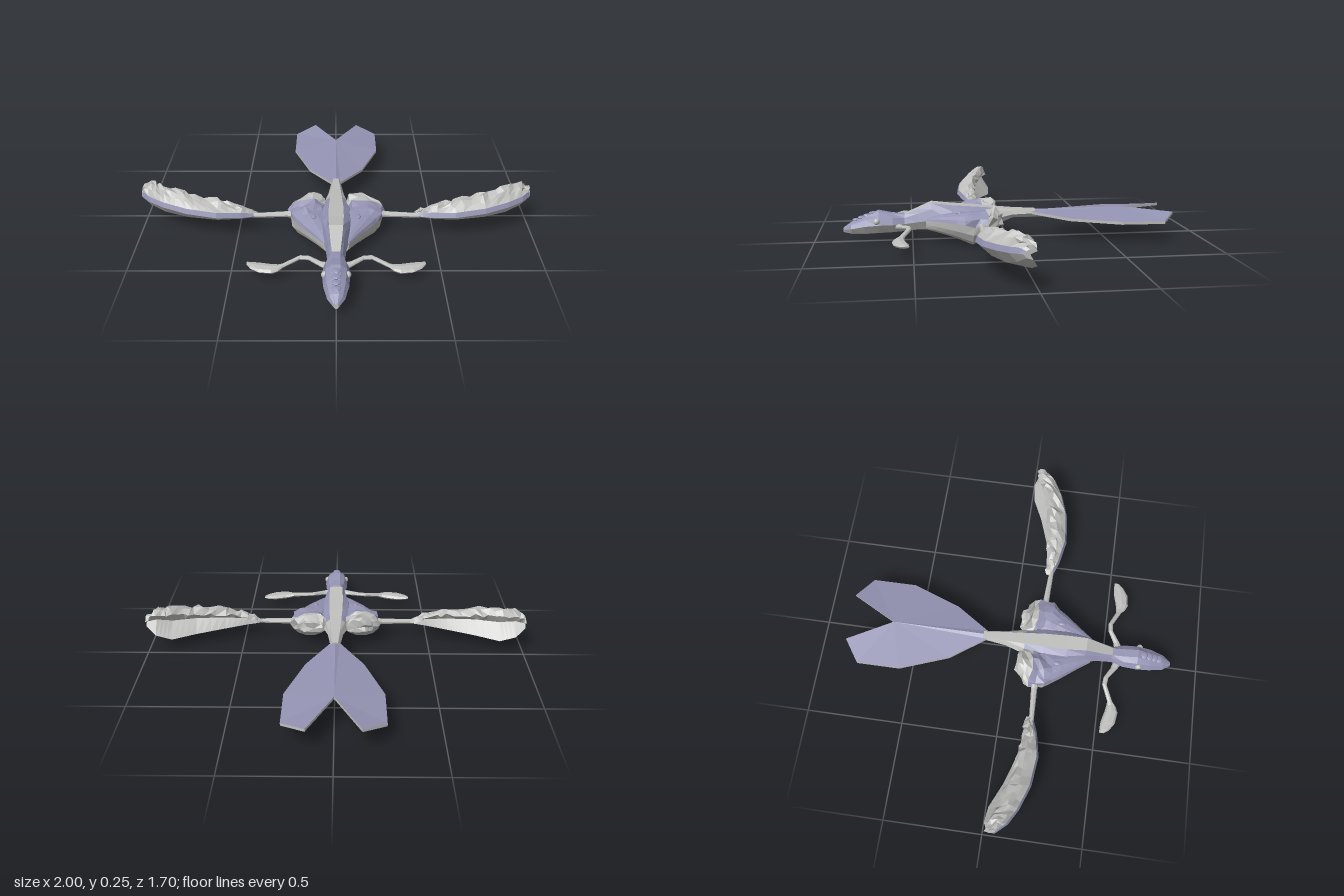
import * as THREE from 'three';

const make = (name, color) => {
  const m = new THREE.MeshStandardMaterial({ color, flatShading: true });
  m.name = name;
  return m;
};

let seed = 7;
const rough = (size) => {
  seed = (seed * 16807) % 2147483647;
  return (seed / 2147483647 - 0.5) * 2 * size;
};
const mix = (a, b, t) => a + (b - a) * t;

// Linear resampling of a table of stations
function resample(keys, count) {
  return Array.from({ length: count + 1 }, (_, i) => {
    const f = (i / count) * (keys.length - 1);
    const k = Math.min(Math.floor(f), keys.length - 2);
    return keys[k].map((v, j) => mix(v, keys[k + 1][j], f - k));
  });
}

// Closed skin over rings of points; paint(i, j) picks the material index of a facet
function loft(name, rings, materials, paint = () => 0) {
  const n = rings[0].length;
  const lists = materials.map(() => []);
  const mid = (r) => [0, 1, 2].map((k) => r.reduce((s, p) => s + p[k], 0) / n);
  for (let i = 0; i < rings.length - 1; i++) {
    for (let j = 0; j < n; j++) {
      const a = rings[i][j], b = rings[i][(j + 1) % n];
      const c = rings[i + 1][(j + 1) % n], d = rings[i + 1][j];
      lists[paint(i, j)].push([a, b, c], [a, c, d]);
    }
  }
  const first = rings[0], last = rings[rings.length - 1];
  for (let j = 0; j < n; j++) {
    const k = (j + 1) % n;
    lists[0].push([mid(first), first[k], first[j]], [mid(last), last[j], last[k]]);
  }
  // Turn the facets outward
  const v = (p) => new THREE.Vector3(...p);
  let volume = 0;
  for (const [a, b, c] of lists.flat()) volume += v(a).dot(v(b).cross(v(c)));
  const geometry = new THREE.BufferGeometry();
  const positions = [];
  lists.forEach((list, m) => {
    const start = positions.length / 3;
    for (const [a, b, c] of list) positions.push(...a, ...(volume < 0 ? c : b), ...(volume < 0 ? b : c));
    geometry.addGroup(start, positions.length / 3 - start, m);
  });
  geometry.setAttribute('position', new THREE.Float32BufferAttribute(positions, 3));
  geometry.computeVertexNormals();
  const mesh = new THREE.Mesh(geometry, materials);
  mesh.name = name;
  return mesh;
}

export function createModel() {
  const grey = make('paleGrey', 0xbebebc);
  const violet = make('dustyViolet', 0x9494b4);
  const both = [grey, violet];
  const model = new THREE.Group();
  model.name = 'wingedCreature';

  // Body from snout to tail root: z, half width, top, middle, bottom, half stripe
  const spine = [
    [0.85, 0.012, 0.082, 0.07, 0.058, 0.005], [0.81, 0.04, 0.11, 0.08, 0.048, 0.012],
    [0.74, 0.058, 0.142, 0.095, 0.045, 0.018], [0.67, 0.064, 0.167, 0.1, 0.048, 0.02],
    [0.6, 0.06, 0.152, 0.1, 0.05, 0.02], [0.54, 0.042, 0.147, 0.1, 0.055, 0.02],
    [0.47, 0.05, 0.175, 0.11, 0.06, 0.028], [0.4, 0.066, 0.205, 0.12, 0.06, 0.034],
    [0.3, 0.09, 0.192, 0.12, 0.05, 0.038], [0.18, 0.09, 0.182, 0.12, 0.05, 0.036],
    [0.08, 0.068, 0.172, 0.12, 0.07, 0.03], [-0.02, 0.04, 0.163, 0.135, 0.112, 0.024],
    [-0.14, 0.024, 0.157, 0.135, 0.115, 0.014],
  ];
  const bodyRings = spine.map(([z, w, top, mid, bot, s]) => {
    const half = [[s, top], [0.75 * w, mix(top, mid, 0.35)], [w, mid], [0.6 * w, mix(bot, mid, 0.2)]];
    return [
      ...half.map(([x, y]) => [x, y, z]), [0, bot, z],
      ...half.reverse().map(([x, y]) => [-x, y, z]),
    ];
  });
  model.add(loft('body', bodyRings, both, (i, j) => {
    if (j === 8) return i < 5 ? 1 : 0;
    return [0, 1, 6, 7].includes(j) && i < 10 ? 1 : 0;
  }));

  // Row of low studs on the head
  for (let i = 0; i < 4; i++) {
    const stud = new THREE.Mesh(new THREE.SphereGeometry(0.022, 10, 6), violet);
    stud.name = 'headStud';
    stud.scale.y = 0.35;
    stud.position.set(0, 0.155 - i * 0.011, 0.7 + i * 0.028);
    model.add(stud);
  }

  for (const s of [1, -1]) {
    const side = s > 0 ? 'left' : 'right';

    const eye = new THREE.Mesh(new THREE.SphereGeometry(0.017, 10, 8), grey);
    eye.name = side + 'Eye';
    eye.position.set(s * 0.052, 0.118, 0.68);
    model.add(eye);

    // Haunch: z, centre x, half width, top, bottom; rough toward the rear
    const haunch = resample([
      [0.43, 0.045, 0.018, 0.13, 0.07], [0.36, 0.07, 0.045, 0.15, 0.055],
      [0.28, 0.1, 0.078, 0.165, 0.035], [0.2, 0.132, 0.1, 0.175, 0.006],
      [0.13, 0.14, 0.1, 0.188, 0.045], [0.085, 0.125, 0.08, 0.195, 0.08], [0.05, 0.115, 0.05, 0.175, 0.11],
    ], 12);
    const haunchRings = haunch.map(([z, cx, w, top, bot]) =>
      Array.from({ length: 14 }, (_, j) => {
        const a = (j / 14) * Math.PI * 2, up = Math.sin(a);
        const r = z < 0.24 && up > -0.3 ? 0.011 : 0;
        return [
          s * (cx + w * Math.cos(a) + rough(r)),
          Math.max(0, 0.12 + up * (up > 0 ? top - 0.12 : 0.12 - bot) + rough(r)),
          z + rough(r),
        ];
      }));
    model.add(loft(side + 'Haunch', haunchRings, both, (i, j) => (j < 7 && i < 8 ? 1 : 0)));

    // Small oval bumps on the haunch
    for (const [x, y, z] of [[0.11, 0.166, 0.26], [0.145, 0.155, 0.25]]) {
      const bump = new THREE.Mesh(new THREE.SphereGeometry(0.016, 8, 6), violet);
      bump.name = side + 'HaunchBump';
      bump.scale.set(0.8, 0.5, 1.4);
      bump.position.set(s * x, y, z);
      model.add(bump);
    }

    // Limbs running outward: x, y, z, half height, half depth
    const limb = (name, keys) => loft(name, keys.map(([x, y, z, h, d]) =>
      Array.from({ length: 8 }, (_, j) => {
        const a = (j / 8) * Math.PI * 2;
        return [s * x, y + h * Math.sin(a), z + d * Math.cos(a)];
      })), both);
    model.add(limb(side + 'WingStrut', [
      [0.18, 0.12, 0.155, 0.03, 0.03], [0.25, 0.118, 0.16, 0.015, 0.016], [0.43, 0.115, 0.168, 0.012, 0.012],
    ]));
    model.add(limb(side + 'ForearmAndPaddle', [
      [0.02, 0.085, 0.58, 0.02, 0.025], [0.07, 0.09, 0.56, 0.012, 0.018], [0.13, 0.1, 0.522, 0.01, 0.013],
      [0.17, 0.099, 0.518, 0.01, 0.012], [0.25, 0.078, 0.556, 0.01, 0.014], [0.27, 0.072, 0.565, 0.013, 0.024],
      [0.3, 0.069, 0.569, 0.017, 0.033], [0.36, 0.069, 0.557, 0.015, 0.037],
      [0.4, 0.071, 0.543, 0.011, 0.025], [0.42, 0.075, 0.53, 0.004, 0.012],
    ]));

    // Wing: x, crest y and z, front y and z, blade y and z
    const wing = resample([
      [0.4, 0.125, 0.16, 0.115, 0.175, 0.105, 0.165], [0.48, 0.165, 0.15, 0.122, 0.205, 0.1, 0.15],
      [0.6, 0.195, 0.14, 0.135, 0.228, 0.09, 0.12], [0.75, 0.22, 0.115, 0.15, 0.212, 0.083, 0.07],
      [0.87, 0.235, 0.075, 0.162, 0.17, 0.08, 0.015], [0.95, 0.25, 0.045, 0.17, 0.125, 0.11, 0.005],
      [1.0, 0.195, 0.035, 0.175, 0.07, 0.15, 0.03],
    ], 24);
    const wingRings = wing.map(([x, cy, cz, fy, fz, by, bz], i) => {
      const r = i > 0 && i < 24 ? 0.012 : 0;
      const hy = Math.min(fy + 0.025, mix(fy, cy, 0.6)), hz = fz - 0.01;
      const bumpy = (y, z) => [s * Math.min(1, x + rough(r)), y + rough(r), z + rough(r * 0.7)];
      return [
        [s * x, by, bz],
        [s * x, mix(by, fy, 0.35), mix(bz, fz, 0.7)],
        [s * x, fy, fz],
        [s * x, hy, hz],
        bumpy(mix(hy, cy, 0.5), mix(hz, cz, 0.3)),
        bumpy(mix(hy, cy, 0.85), mix(hz, cz, 0.65)),
        bumpy(cy, cz),
        bumpy(mix(cy, by, 0.2), cz - 0.02),
        [s * x, mix(cy, by, 0.5), cz + 0.01],
      ];
    });
    model.add(loft(side + 'Wing', wingRings, both, (i, j) => (j === 2 ? 1 : 0)));

    // Half of the forked tail fan, fanned around the notch
    const edge = [
      [0, 0.155, -0.1], [0.022, 0.145, -0.12], [0.145, 0.128, -0.3],
      [0.237, 0.122, -0.55], [0.237, 0.12, -0.775], [0.125, 0.145, -0.852],
    ];
    const fanRings = edge.map(([x, y, z]) => [
      [0, 0.155, -0.62], [s * x, y, z], [s * x, y - 0.014, z], [0, 0.141, -0.62],
    ]);
    model.add(loft(side + 'TailFan', fanRings, both, (i, j) => (j === 0 ? 1 : 0)));
  }
  return model;
}
